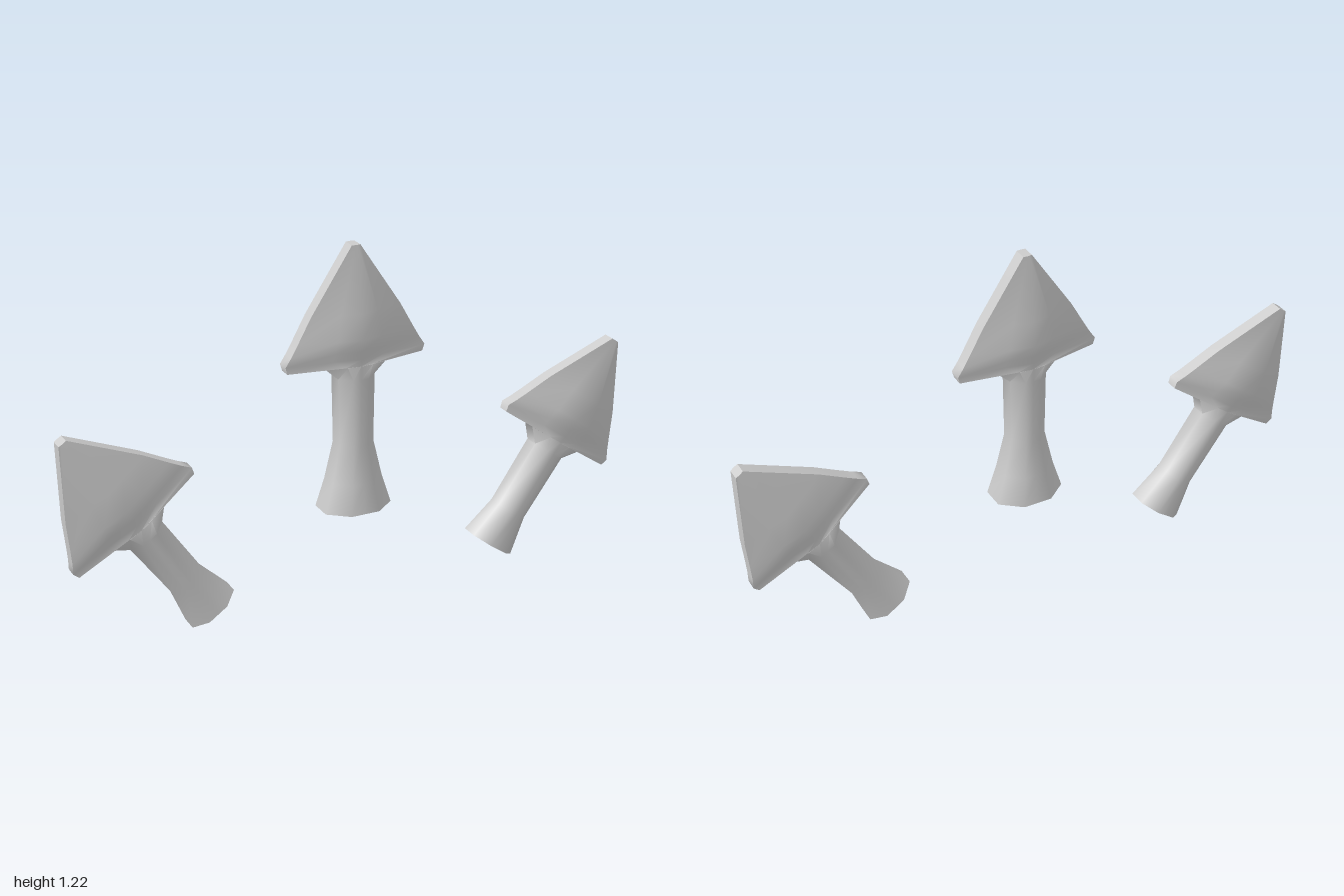
import * as THREE from 'three';
import { toCreasedNormals } from 'three/addons/utils/BufferGeometryUtils.js';

const material = new THREE.MeshStandardMaterial({ color: 0xcccccc, side: THREE.DoubleSide });

// A ring is [height, centre z, shoulder x, shoulder z, edge x, edge z], mirrored to all four quadrants.
function ringPoints([y, az, bx, bz, cx, cz]) {
  return [
    [0, y, az], [bx, y, bz], [cx, y, cz], [cx, y, -cz], [bx, y, -bz],
    [0, y, -az], [-bx, y, -bz], [-cx, y, -cz], [-cx, y, cz], [-bx, y, bz],
  ];
}

// Octagonal shaft ring
const round = (y, rx, rz) => [y, rz, rx * 0.42, rz, rx, rz * 0.42];

// Head rings, measured from the underside of the barbs
const headRings = [
  [0, 0.06, 0.045, 0.055, 0.115, 0.024],
  [0.001, 0.06, 0.05, 0.053, 0.243, 0.02],
  [0.025, 0.063, 0.09, 0.042, 0.25, 0.022],
  [0.055, 0.069, 0.09, 0.052, 0.23, 0.022],
  [0.095, 0.074, 0.08, 0.056, 0.207, 0.022],
  [0.18, 0.064, 0.065, 0.048, 0.16, 0.022],
  [0.4, 0.024, 0.006, 0.023, 0.015, 0.022],
];

// Loft the rings from the open foot to the capped tip
function arrowGeometry(shaftRings, headBase) {
  const rings = [...shaftRings, ...headRings.map(([y, ...r]) => [y + headBase, ...r])];
  const n = 10, positions = [], index = [];
  rings.forEach((r) => ringPoints(r).forEach((p) => positions.push(...p)));
  for (let j = 0; j < rings.length - 1; j++) {
    for (let i = 0; i < n; i++) {
      const a = j * n + i, b = j * n + (i + 1) % n;
      index.push(a, b, b + n, a, b + n, a + n);
    }
  }
  const top = (rings.length - 1) * n;
  for (let i = 1; i < n - 1; i++) index.push(top, top + i, top + i + 1);
  const g = new THREE.BufferGeometry();
  g.setAttribute('position', new THREE.Float32BufferAttribute(positions, 3));
  g.setIndex(index);
  return toCreasedNormals(g, 0.95);
}

export function createModel() {
  const group = new THREE.Group();

  // Upright middle arrow with a widely flared foot
  const centre = new THREE.Mesh(arrowGeometry([
    round(0, 0.12, 0.095), round(0.1, 0.09, 0.078),
    round(0.23, 0.062, 0.06), round(0.465, 0.066, 0.06),
  ], 0.51), material);
  centre.name = 'centreArrow';
  centre.position.y = 0.31;
  group.add(centre);

  // Shorter arrows leaning outwards on both sides
  const sideGeometry = arrowGeometry([
    round(0, 0.091, 0.075), round(0.135, 0.063, 0.06), round(0.38, 0.067, 0.06),
  ], 0.427);
  for (const s of [1, -1]) {
    const arrow = new THREE.Mesh(sideGeometry, material);
    arrow.name = s > 0 ? 'leftArrow' : 'rightArrow';
    arrow.position.set(s * 0.525, 0.052, 0);
    arrow.rotation.z = -s * THREE.MathUtils.degToRad(35);
    group.add(arrow);
  }
  return group;
}
